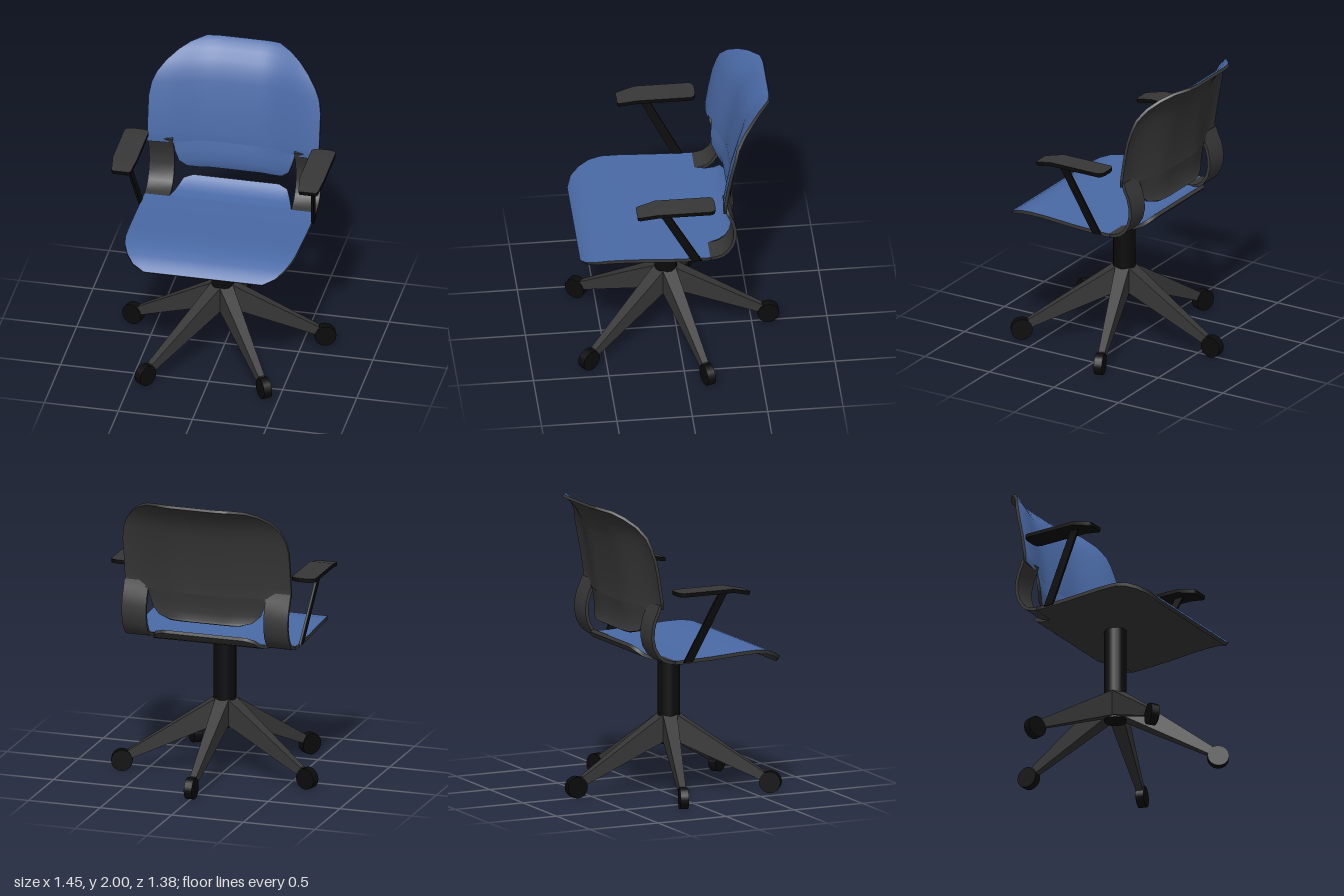
import * as THREE from 'three';

const blue = new THREE.MeshStandardMaterial({ color: 0x4a6aa6 });
blue.name = 'blue upholstery';
const grey = new THREE.MeshStandardMaterial({ color: 0x373737 });
grey.name = 'dark grey shell';
const black = new THREE.MeshStandardMaterial({ color: 0x0b0b0b });
black.name = 'black plastic';

const add = (parent, name, geometry, material) => {
  const mesh = new THREE.Mesh(geometry, material);
  mesh.name = name;
  parent.add(mesh);
  return mesh;
};

function surface(positions, index) {
  const g = new THREE.BufferGeometry();
  g.setAttribute('position', new THREE.Float32BufferAttribute(positions, 3));
  g.setIndex(index);
  g.computeVertexNormals();
  return g;
}

// Thin panel lofted through rows of [half width, y, z]; bend(x) pushes it forward.
function panel(name, rows, { thick, face, under, cx = 0, bend = () => 0, cols = 16 }) {
  const group = new THREE.Group();
  group.name = name;
  const top = [], index = [], n = cols + 1, last = rows.length - 1;
  for (const [w, y, z] of rows) {
    for (let i = 0; i <= cols; i++) {
      const x = w * (2 * i / cols - 1);
      top.push(cx + x, y, z + bend(x));
    }
  }
  for (let r = 0; r < last; r++) {
    for (let i = 0; i < cols; i++) {
      const a = r * n + i, b = a + 1, c = a + n, d = c + 1;
      index.push(a, b, d, a, d, c);
    }
  }
  const front = surface(top, index);
  const normals = front.attributes.normal.array;
  const bottom = top.map((v, i) => v - normals[i] * thick);
  const reversed = [];
  for (let i = 0; i < index.length; i += 3) reversed.push(index[i], index[i + 2], index[i + 1]);

  // Rim: walk the outline counter-clockwise and join both skins
  const loop = [];
  for (let i = 0; i <= cols; i++) loop.push(i);
  for (let r = 1; r <= last; r++) loop.push(r * n + cols);
  for (let i = cols - 1; i >= 0; i--) loop.push(last * n + i);
  for (let r = last - 1; r > 0; r--) loop.push(r * n);
  const rim = [], rimIndex = [];
  loop.forEach((v, k) => {
    rim.push(...top.slice(v * 3, v * 3 + 3), ...bottom.slice(v * 3, v * 3 + 3));
    const a = 2 * k, b = 2 * ((k + 1) % loop.length);
    rimIndex.push(a, a + 1, b + 1, a, b + 1, b);
  });

  add(group, name + 'Face', front, face);
  add(group, name + 'Underside', surface(bottom, reversed), under);
  add(group, name + 'Rim', surface(rim, rimIndex), under);
  return group;
}

// Box whose corners follow place(sx, sy, sz), each sign being -1 or 1
function cornerBox(place) {
  const g = new THREE.BoxGeometry(2, 2, 2);
  const p = g.attributes.position;
  for (let i = 0; i < p.count; i++) p.setXYZ(i, ...place(p.getX(i), p.getY(i), p.getZ(i)));
  g.computeVertexNormals();
  return g;
}

export function createModel() {
  const chair = new THREE.Group();
  chair.name = 'officeChair';

  // Seat with drooping front and a raised lip at the back
  chair.add(panel('seat', [
    [0.40, 0.895, 0.68], [0.48, 0.932, 0.65], [0.53, 0.967, 0.59],
    [0.56, 0.993, 0.52], [0.575, 1.005, 0.44], [0.578, 1.003, 0.32],
    [0.58, 0.99, 0.10], [0.58, 0.983, -0.10], [0.58, 0.983, -0.17],
    [0.41, 0.983, -0.175], [0.39, 0.99, -0.24], [0.37, 1.01, -0.29],
    [0.35, 1.04, -0.325], [0.29, 1.06, -0.345],
  ], { thick: 0.025, face: blue, under: grey }));

  // Concave backrest with a tongue below the straps
  chair.add(panel('backrest', [
    [0.24, 1.13, -0.345], [0.32, 1.15, -0.335], [0.37, 1.20, -0.325],
    [0.395, 1.27, -0.33], [0.41, 1.33, -0.342], [0.58, 1.335, -0.343],
    [0.58, 1.40, -0.345], [0.58, 1.53, -0.365], [0.58, 1.66, -0.39],
    [0.565, 1.75, -0.415], [0.535, 1.82, -0.435], [0.48, 1.89, -0.475],
    [0.41, 1.945, -0.52], [0.34, 1.98, -0.555], [0.25, 2.0, -0.595],
  ], {
    thick: 0.02, face: blue, under: grey, cols: 24,
    bend: (x) => 0.09 * THREE.MathUtils.smoothstep(Math.abs(x), 0.15, 0.55),
  }));

  for (const side of [-1, 1]) {
    const label = side > 0 ? 'left' : 'right';

    // Curved strap joining seat and backrest
    const strap = [
      [0.983, -0.165], [0.987, -0.20], [1.0, -0.24], [1.03, -0.275], [1.08, -0.305],
      [1.14, -0.319], [1.20, -0.317], [1.26, -0.303], [1.31, -0.28], [1.36, -0.262],
    ].map(([y, z]) => [0.085, y, z]);
    chair.add(panel(label + 'Strap', strap,
      { thick: 0.022, face: grey, under: grey, cx: side * 0.495, cols: 2 }));

    // Arm pad, tapered and dipped at the front
    chair.add(panel(label + 'ArmPad', [
      [0.055, 1.432, 0.33], [0.065, 1.434, 0.315], [0.082, 1.46, 0.20],
      [0.082, 1.46, -0.16], [0.07, 1.46, -0.18], [0.035, 1.46, -0.19],
    ], { thick: 0.026, face: grey, under: black, cx: side * 0.631, cols: 4 }));

    // Slanted arm post
    add(chair, label + 'ArmPost', cornerBox((sx, sy, sz) => sy > 0
      ? [side * 0.633 + sx * 0.008, 1.44, 0.165 + sz * 0.03]
      : [side * 0.582 + sx * 0.008, 0.968, -0.075 + sz * 0.033]), black);
  }

  // Base: column, hub and five tapered legs with wheels
  const base = new THREE.Group();
  base.name = 'base';
  base.position.z = 0.07;
  chair.add(base);
  add(base, 'column', new THREE.CylinderGeometry(0.075, 0.075, 0.66, 16), black).position.y = 0.645;
  add(base, 'hub', new THREE.CylinderGeometry(0.08, 0.08, 0.18, 5).toNonIndexed(), grey).position.y = 0.42;

  const legShape = cornerBox((sx, sy, sz) => sz > 0
    ? [sx * 0.022, sy > 0 ? 0.14 : 0.075, 0.64]
    : [sx * 0.047, sy > 0 ? 0.51 : 0.33, 0.062]);
  const wheelShape = new THREE.CylinderGeometry(0.072, 0.072, 0.055, 16).rotateZ(Math.PI / 2);
  for (let i = 0; i < 5; i++) {
    const leg = new THREE.Group();
    leg.name = 'leg' + (i + 1);
    leg.rotation.y = Math.PI + i * Math.PI * 2 / 5;
    base.add(leg);
    add(leg, 'legBeam', legShape, grey);
    add(leg, 'wheel', wheelShape, black).position.set(0, 0.072, 0.68);
  }
  return chair;
}
